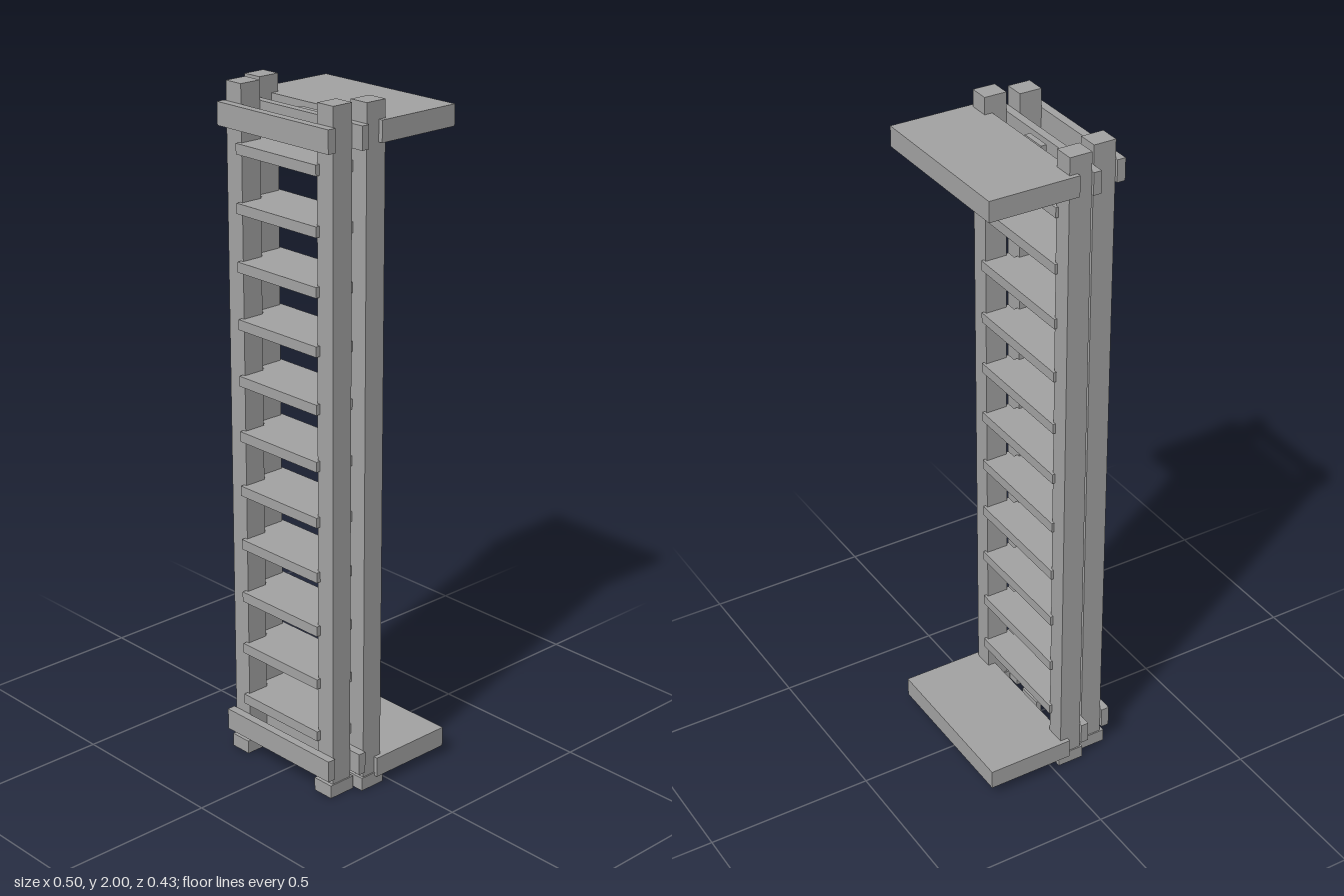
import * as THREE from 'three';

export function createModel() {
  const model = new THREE.Group();
  model.name = 'slattedRack';
  const grey = new THREE.MeshStandardMaterial({ color: 0xa3a3a3 });
  grey.name = 'plain grey';

  // Box given by its minimum and maximum on each axis
  function box(name, x0, x1, y0, y1, z0, z1) {
    const mesh = new THREE.Mesh(new THREE.BoxGeometry(x1 - x0, y1 - y0, z1 - z0), grey);
    mesh.position.set((x0 + x1) / 2, (y0 + y1) / 2, (z0 + z1) / 2);
    mesh.name = name;
    model.add(mesh);
  }

  // Posts with slightly wider feet, mirrored left and right
  const rows = [
    { name: 'front', inner: 0.148, outer: 0.208, z0: 0.12, z1: 0.187, foot0: 0.112, foot1: 0.198 },
    { name: 'back', inner: 0.177, outer: 0.237, z0: 0.029, z1: 0.096, foot0: 0.022, foot1: 0.104 },
  ];
  for (const r of rows) {
    for (const s of [-1, 1]) {
      const side = s > 0 ? 'Left' : 'Right';
      const span = (a, b) => (s > 0 ? [a, b] : [-b, -a]);
      box(`${r.name}${side}Post`, ...span(r.inner, r.outer), 0, 2, r.z0, r.z1);
      box(`${r.name}${side}Foot`, ...span(r.inner - 0.004, r.outer + 0.004), 0, 0.04, r.foot0, r.foot1);
    }
  }

  // Top and bottom: cross bars, rear platform and its small tab
  const ends = [
    { name: 'bottom', bar: 0.06, plate: 0.03 },
    { name: 'top', bar: 1.88, plate: 1.89 },
  ];
  for (const e of ends) {
    box(`${e.name}FrontBar`, -0.217, 0.217, e.bar, e.bar + 0.065, 0.187, 0.212);
    box(`${e.name}MiddleBar`, -0.246, 0.246, e.bar, e.bar + 0.065, 0.096, 0.12);
    box(`${e.name}Platform`, -0.25, 0.25, e.plate, e.plate + 0.06, -0.215, 0.053);
    box(`${e.name}Tab`, -0.04, 0.04, e.plate + 0.01, e.plate + 0.05, 0.068, 0.085);
  }

  // Slats: stepped outline, wider between the back posts
  const outline = new THREE.Shape([
    [-0.157, -0.2], [0.157, -0.2], [0.157, -0.108], [0.187, -0.108],
    [0.187, -0.021], [-0.187, -0.021], [-0.187, -0.108], [-0.157, -0.108],
  ].map(([x, y]) => new THREE.Vector2(x, y)));
  const slatGeometry = new THREE.ExtrudeGeometry(outline, { depth: 0.03, bevelEnabled: false });
  slatGeometry.rotateX(-Math.PI / 2);
  for (let i = 0; i < 11; i++) {
    const slat = new THREE.Mesh(slatGeometry, grey);
    slat.position.y = 0.163 + i * 0.1647;
    slat.name = `slat${i + 1}`;
    model.add(slat);
  }

  return model;
}
